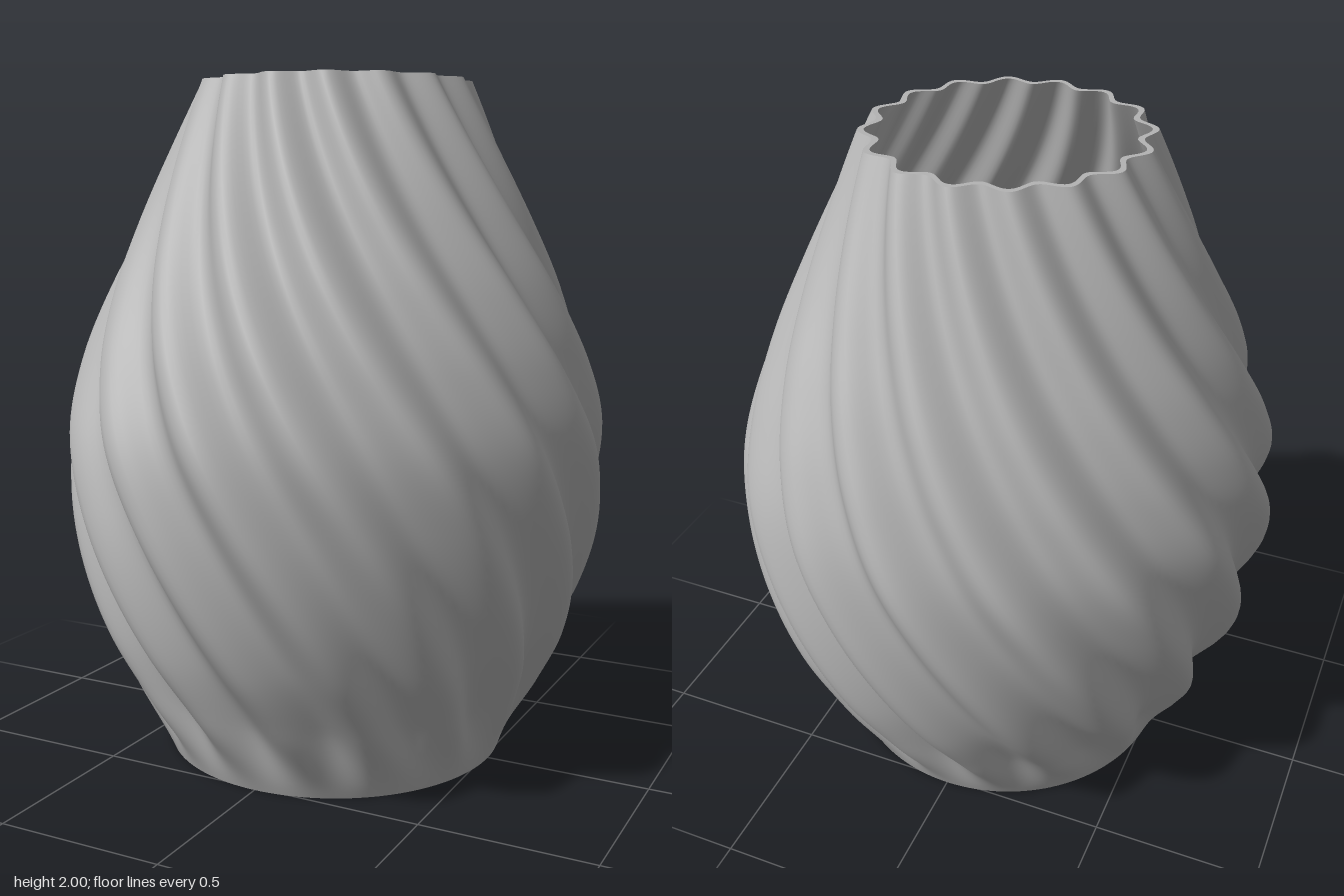
import * as THREE from 'three';

const HEIGHT = 2, LOBES = 16, WALL = 0.018, FLOOR = 0.03, HOLE = 0.185, BASE = 0.513;
const TWIST = Math.PI / 4; // turn per unit of height
const SEGMENTS = 256, ROWS = 84;

// Mean radius of the body by height
const profile = new THREE.CatmullRomCurve3([
  [BASE, 0], [0.592, 0.2], [0.682, 0.4], [0.739, 0.6], [0.768, 0.8], [0.768, 1],
  [0.72, 1.2], [0.645, 1.4], [0.556, 1.6], [0.467, 1.8], [0.381, 2],
].map(([r, y]) => new THREE.Vector3(r, y, 0)));

const samples = profile.getPoints(400);
function meanRadius(y) {
  const k = samples.findIndex((p) => p.y >= y - 1e-6);
  if (k <= 0) return samples[k < 0 ? 400 : 0].x;
  const a = samples[k - 1], b = samples[k];
  return THREE.MathUtils.mapLinear(y, a.y, b.y, a.x, b.x);
}

// Closed rings of the fluted, twisted section, joined into a smooth strip
function flutedStrip(rings) {
  const position = [], index = [];
  rings.forEach(([y, inset], j) => {
    const mean = meanRadius(y);
    const depth = 0.05 * mean * THREE.MathUtils.smoothstep(y, 0, 0.22);
    for (let i = 0; i < SEGMENTS; i++) {
      const angle = (i / SEGMENTS) * Math.PI * 2 + TWIST * (HEIGHT - y);
      const lobe = Math.cos((LOBES * i * Math.PI * 2) / SEGMENTS);
      const r = mean + depth * lobe - inset;
      position.push(r * Math.sin(angle), y, r * Math.cos(angle));
      if (j === rings.length - 1) continue;
      const n = (i + 1) % SEGMENTS, a = j * SEGMENTS, b = a + SEGMENTS;
      index.push(a + i, a + n, b + n, a + i, b + n, b + i);
    }
  });
  const geometry = new THREE.BufferGeometry();
  geometry.setAttribute('position', new THREE.Float32BufferAttribute(position, 3));
  geometry.setIndex(index);
  geometry.computeVertexNormals();
  return geometry;
}

export function createModel() {
  const group = new THREE.Group();
  group.name = 'twistedVase';
  const grey = new THREE.MeshStandardMaterial({ color: 0xb3b3b3 });
  grey.name = 'grey';
  const add = (name, geometry) => {
    const mesh = new THREE.Mesh(geometry, grey);
    mesh.name = name;
    group.add(mesh);
  };
  const rows = (from, to, inset) => Array.from({ length: ROWS + 1 },
    (_, j) => [THREE.MathUtils.lerp(from, to, j / ROWS), inset]);

  // Shell: outside going up, rim going inwards, inside going down
  add('outerWall', flutedStrip(rows(0, HEIGHT, 0)));
  add('rim', flutedStrip([[HEIGHT, 0], [HEIGHT, WALL]]));
  add('innerWall', flutedStrip(rows(HEIGHT, FLOOR / 2, WALL)));

  // Flat floor with a round hole
  const disc = new THREE.Shape().absarc(0, 0, BASE, 0, Math.PI * 2);
  disc.holes.push(new THREE.Path().absarc(0, 0, HOLE, 0, Math.PI * 2, true));
  const floor = new THREE.ExtrudeGeometry(disc, { depth: FLOOR, bevelEnabled: false, curveSegments: 96 });
  add('floor', floor.rotateX(-Math.PI / 2));
  return group;
}
